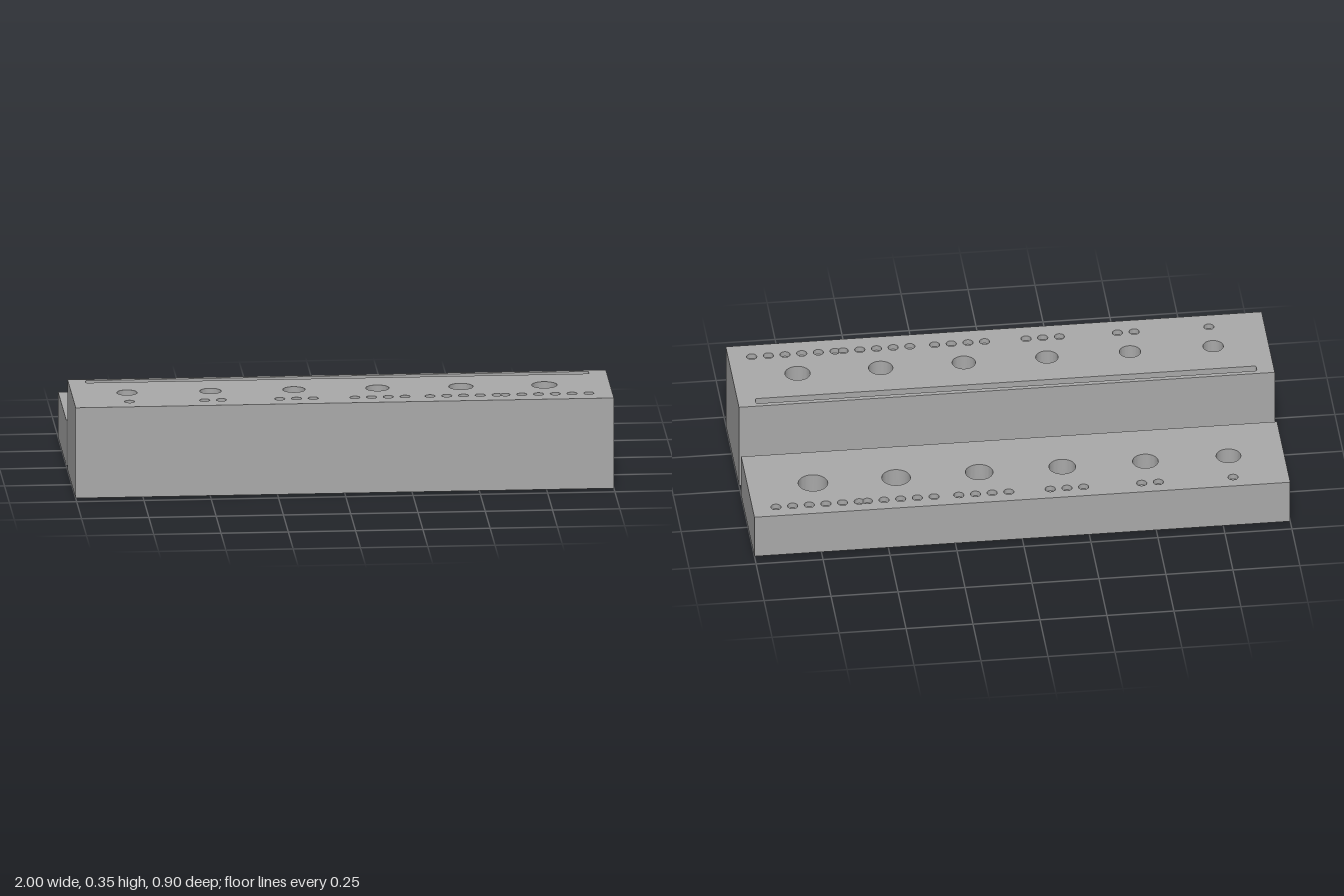
import * as THREE from 'three';
import { mergeGeometries, toCreasedNormals } from 'three/addons/utils/BufferGeometryUtils.js';

// All outlines are counter-clockwise point loops in plan; plan y equals -z.
const arc = (x, z, r, a0, a1, n) => Array.from({ length: n }, (_, i) => {
  const a = a0 + (a1 - a0) * i / n;
  return new THREE.Vector2(x + r * Math.cos(a), -z + r * Math.sin(a));
});
const circle = (x, z, r, n = 40) => arc(x, z, r, 0, Math.PI * 2, n);

// Two overlapping circles merged into one outline
function joinedCircles(xa, xb, z, r) {
  const a = Math.acos((xb - xa) / 2 / r), p = Math.PI;
  return [...arc(xa, z, r, a, 2 * p - a, 18), ...arc(xb, z, r, a - p, p - a, 18)];
}

function rectangle(x0, x1, z0, z1, r = 0) {
  if (!r) return [[x0, z1], [x1, z1], [x1, z0], [x0, z0]].map(([x, z]) => new THREE.Vector2(x, -z));
  const q = Math.PI / 2;
  return [[x1 - r, z0 + r], [x0 + r, z0 + r], [x0 + r, z1 - r], [x1 - r, z1 - r]]
    .flatMap(([x, z], i) => [...arc(x, z, r, i * q, (i + 1) * q, 5), ...arc(x, z, r, (i + 1) * q, (i + 2) * q, 1)]);
}

// Flat horizontal face at height y
function face(outline, holes, y, down = false) {
  const shape = new THREE.Shape(outline);
  shape.holes = holes.map(h => new THREE.Path(h));
  let g = new THREE.ShapeGeometry(shape).rotateX(-Math.PI / 2).translate(0, y, 0).toNonIndexed();
  g.deleteAttribute('uv');
  if (down) {
    const p = g.attributes.position, v = new THREE.Vector3(), w = new THREE.Vector3();
    for (let i = 0; i < p.count; i += 3) {
      v.fromBufferAttribute(p, i + 1);
      w.fromBufferAttribute(p, i + 2);
      p.setXYZ(i + 1, w.x, w.y, w.z);
      p.setXYZ(i + 2, v.x, v.y, v.z);
    }
  }
  g.computeVertexNormals();
  return g;
}

// Upright wall along an outline, facing outward or inward
function wall(outline, y0, y1, inward = false) {
  const pts = inward ? [...outline].reverse() : outline, pos = [];
  pts.forEach((a, i) => {
    const b = pts[(i + 1) % pts.length];
    pos.push(a.x, y0, -a.y, b.x, y0, -b.y, b.x, y1, -b.y);
    pos.push(a.x, y0, -a.y, b.x, y1, -b.y, a.x, y1, -a.y);
  });
  const g = new THREE.BufferGeometry();
  g.setAttribute('position', new THREE.Float32BufferAttribute(pos, 3));
  g.computeVertexNormals();
  return toCreasedNormals(g, 0.6);
}

// Block with recesses cut into its top; a recess without depth goes right through
function block(name, outline, height, recesses, material) {
  const through = recesses.filter(r => !r.depth).map(r => r.outline);
  const parts = [
    wall(outline, 0, height),
    face(outline, recesses.map(r => r.outline), height),
    face(outline, through, 0, true),
  ];
  for (const r of recesses) {
    const floor = r.depth ? height - r.depth : 0;
    parts.push(wall(r.outline, floor, height, true));
    if (r.depth) parts.push(face(r.outline, [], floor));
  }
  const mesh = new THREE.Mesh(mergeGeometries(parts), material);
  mesh.name = name;
  return mesh;
}

export function createModel() {
  const grey = new THREE.MeshStandardMaterial({ color: 0xa8a8a8 });
  grey.name = 'plain grey';
  const STATIONS = 6, holeX = i => -0.794 + i * 0.3102;

  // Row of large holes growing slightly from left to right
  const holes = (z, r0, r1, depth) => Array.from({ length: STATIONS }, (_, i) =>
    ({ outline: circle(holeX(i), z, r0 + (r1 - r0) * i / (STATIONS - 1)), depth }));

  // Counting dimples: one beside the first hole, up to six beside the last
  function dimples(z) {
    const r = 0.019, xs = [], out = [];
    for (let i = 0; i < STATIONS; i++)
      for (let k = 0; k <= i; k++) xs.push(holeX(i) + (k - i / 2) * 0.0622);
    for (let i = 0; i < xs.length; i++) {
      const joined = xs[i + 1] - xs[i] < 2 * r;
      out.push({ outline: joined ? joinedCircles(xs[i], xs[i + 1], z, r) : circle(xs[i], z, r, 24), depth: 0.02 });
      if (joined) i++;
    }
    return out;
  }

  const model = new THREE.Group();
  model.name = 'drilledBlocks';

  // Tall front block: blind holes, dimples and a long slot
  const slot = { outline: rectangle(-0.936, 0.934, 0.053, 0.086, 0.008), depth: 0.04 };
  model.add(block('tallBlock', rectangle(-1, 1, 0.035, 0.448), 0.346,
    [...holes(0.238, 0.038, 0.047, 0.26), ...dimples(0.37), slot], grey));

  // Low rear block: through holes and dimples
  model.add(block('lowBlock', rectangle(-1, 1, -0.448, -0.035), 0.173,
    [...holes(-0.243, 0.046, 0.055, 0), ...dimples(-0.388)], grey));

  return model;
}
